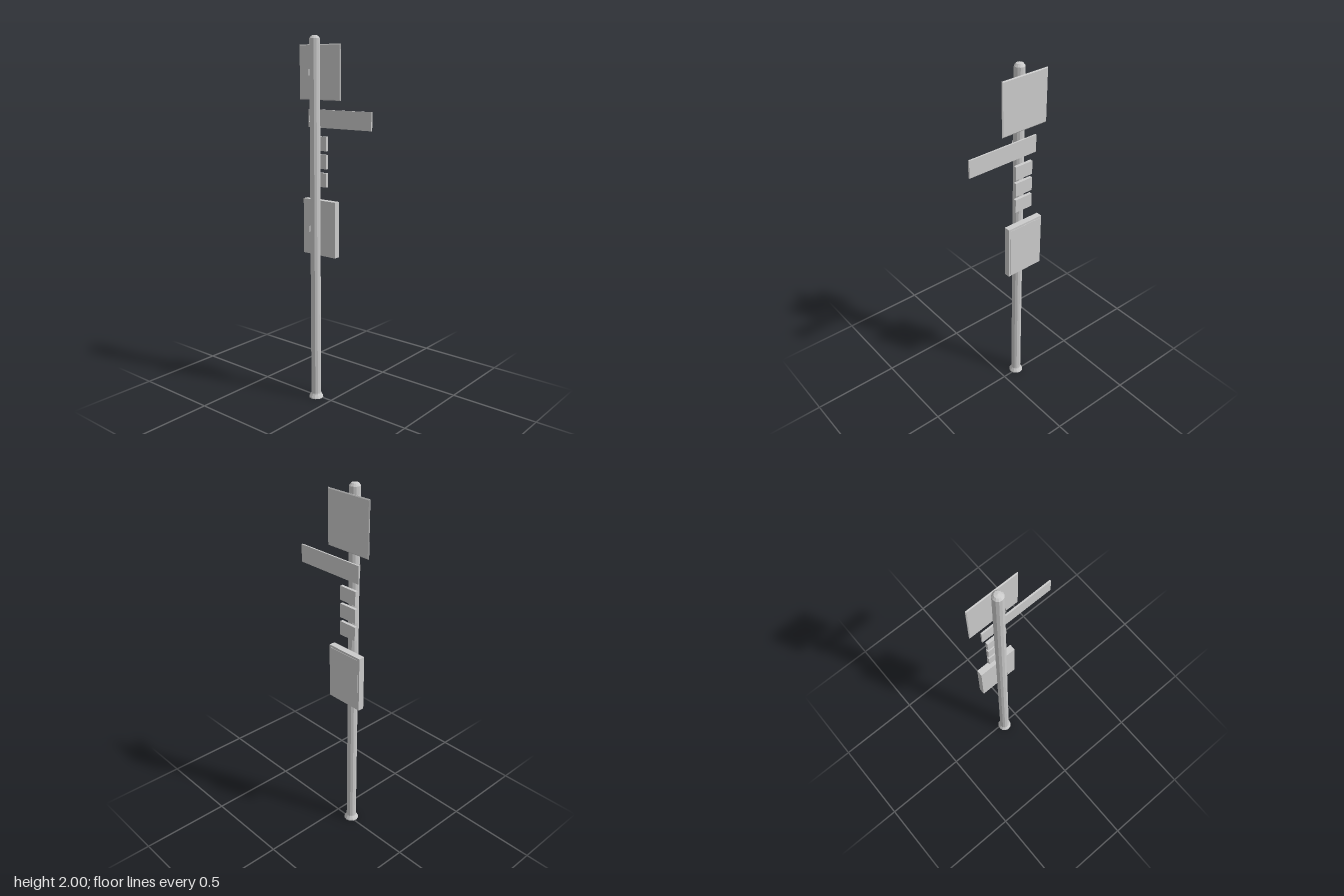
import * as THREE from 'three';

export function createModel() {
  const model = new THREE.Group();
  model.name = 'streetSignPost';
  const grey = new THREE.MeshStandardMaterial({ color: 0xcccccc });
  grey.name = 'grey metal';
  grey.flatShading = true;
  const poleX = -0.1, poleZ = 0.011, sides = 12;

  const add = (name, geometry, x, y, z) => {
    const mesh = new THREE.Mesh(geometry, grey);
    mesh.name = name;
    mesh.position.set(x, y, z);
    model.add(mesh);
    return mesh;
  };
  const lathe = (points) =>
    new THREE.LatheGeometry(points.map(([r, y]) => new THREE.Vector2(r, y)), sides);
  // Box given by its limits on each axis
  const plate = (name, x0, x1, y0, y1, z0, z1) =>
    add(name, new THREE.BoxGeometry(x1 - x0, y1 - y0, z1 - z0),
      (x0 + x1) / 2, (y0 + y1) / 2, (z0 + z1) / 2);

  // Pole with flared foot and shallow domed cap
  add('pole', lathe([
    [0, 0], [0.041, 0], [0.039, 0.006], [0.029, 0.024], [0.028, 0.03],
    [0.028, 1.983], [0.018, 1.996], [0, 2],
  ]), poleX, 0, poleZ);

  // Square top sign with a bevelled rim
  const w = 0.135, h = 0.138;
  const square = new THREE.Shape([
    new THREE.Vector2(-w, -h), new THREE.Vector2(w, -h),
    new THREE.Vector2(w, h), new THREE.Vector2(-w, h),
  ]);
  add('squareSign', new THREE.ExtrudeGeometry(square, {
    depth: 0.002, bevelEnabled: true, bevelSegments: 1, bevelThickness: 0.003, bevelSize: 0.005,
  }), poleX, 1.812, -0.031);

  // Long direction sign
  plate('directionSign', -0.176, 0.24, 1.525, 1.62, -0.034, -0.025);

  // Three small number plates
  [1.442, 1.346, 1.248].forEach((y, i) =>
    plate('smallPlate' + (i + 1), -0.155, -0.048, y - 0.038, y + 0.038, -0.033, -0.016));

  // Notice case with a thin raised panel on its back
  plate('noticeCase', -0.21, 0.012, 0.828, 1.135, -0.052, -0.018);
  plate('noticePanel', -0.198, 0, 0.84, 1.123, -0.054, -0.051);

  // Clamp bands: open rings whose faces look inward
  [1.812, 1.573, 0.98].forEach((y, i) =>
    add('clamp' + (i + 1), lathe([[0.033, 0.017], [0.033, -0.017]]), poleX, y, poleZ));

  return model;
}
